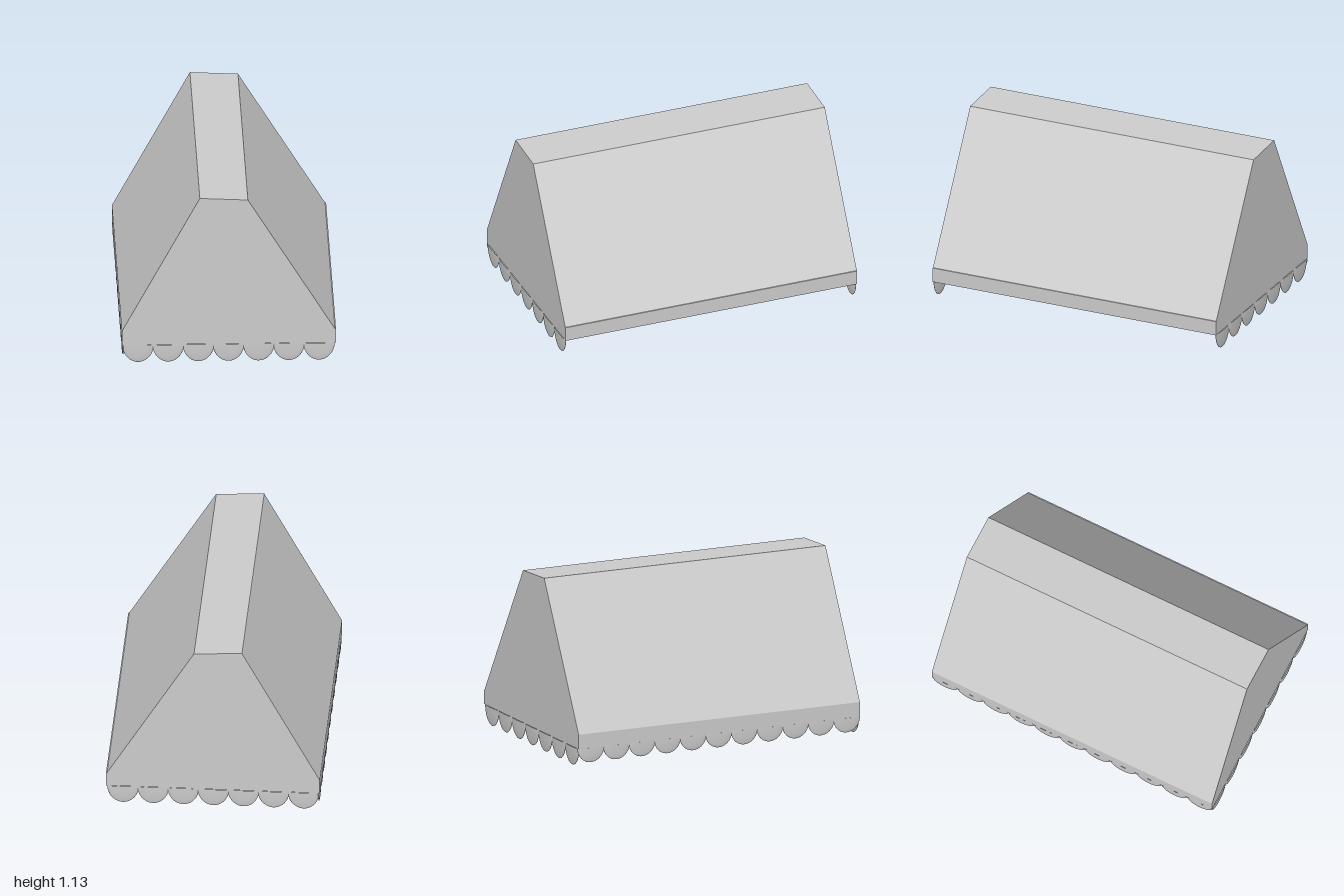
import * as THREE from 'three';

export function createModel() {
  const group = new THREE.Group();
  const material = new THREE.MeshStandardMaterial({ color: 0xcccccc, side: THREE.DoubleSide });
  const rimY = 0.12, endZ = 0.995;

  function add(geometry, name, parent = group) {
    const mesh = new THREE.Mesh(geometry, material);
    mesh.name = name;
    parent.add(mesh);
    return mesh;
  }

  // Cross-section of the canopy, open at the bottom
  const profile = [
    [-0.68, rimY], [-0.68, 0.215], [-0.185, 1.13],
    [0.12, 1.115], [0.673, 0.215], [0.68, 0.215], [0.68, rimY],
  ].map(([x, y]) => new THREE.Vector2(x, y));

  // Roof panels: one flat sheet per profile segment
  const panelNames = ['leftValance', 'leftSlope', 'ridge', 'rightSlope', 'rimLedge', 'rightValance'];
  panelNames.forEach((name, i) => {
    const a = profile[i], b = profile[i + 1];
    const panel = add(new THREE.PlaneGeometry(a.distanceTo(b), endZ * 2).rotateX(-Math.PI / 2), name);
    panel.position.set((a.x + b.x) / 2, (a.y + b.y) / 2, 0);
    panel.rotation.z = Math.atan2(b.y - a.y, b.x - a.x);
  });

  // End walls
  for (const side of [1, -1]) {
    const wall = add(new THREE.ShapeGeometry(new THREE.Shape(profile)), side > 0 ? 'frontWall' : 'backWall');
    wall.position.z = side * endZ;
    // Keep the normals pointing outwards on both ends
    if (side < 0) {
      wall.geometry.scale(-1, 1, 1);
      wall.rotation.y = Math.PI;
    }
    if (side < 0) {
      const index = wall.geometry.index.array;
      for (let i = 0; i < index.length; i += 3) [index[i], index[i + 1]] = [index[i + 1], index[i]];
      wall.geometry.computeVertexNormals();
    }
  }

  // Solid strip behind the plain rim
  const strip = add(new THREE.BoxGeometry(0.02, 0.09, endZ * 2 - 0.01), 'rimStrip');
  strip.position.set(0.669, rimY + 0.0455, 0);

  // Scalloped trim: a row of thin half ellipsoids hanging from the rim
  const half = new THREE.SphereGeometry(1, 32, 14, 0, Math.PI * 2, Math.PI / 2, Math.PI / 2);
  function scallopRow(name, count, pitch, start, size, place) {
    const row = new THREE.Group();
    row.name = name;
    group.add(row);
    for (let i = 0; i < count; i++) {
      const scallop = add(half, 'scallop', row);
      scallop.scale.set(...size);
      scallop.position.copy(place(start + i * pitch));
    }
  }
  for (const side of [1, -1]) {
    scallopRow(side > 0 ? 'frontScallops' : 'backScallops', 7, 0.1915, -0.577, [0.1, 0.12, 0.01],
      (x) => new THREE.Vector3(x, rimY, side * 0.99));
  }
  scallopRow('sideScallops', 11, 0.181, -0.905, [0.009, 0.095, 0.094],
    (z) => new THREE.Vector3(-0.672, rimY, z));

  return group;
}
